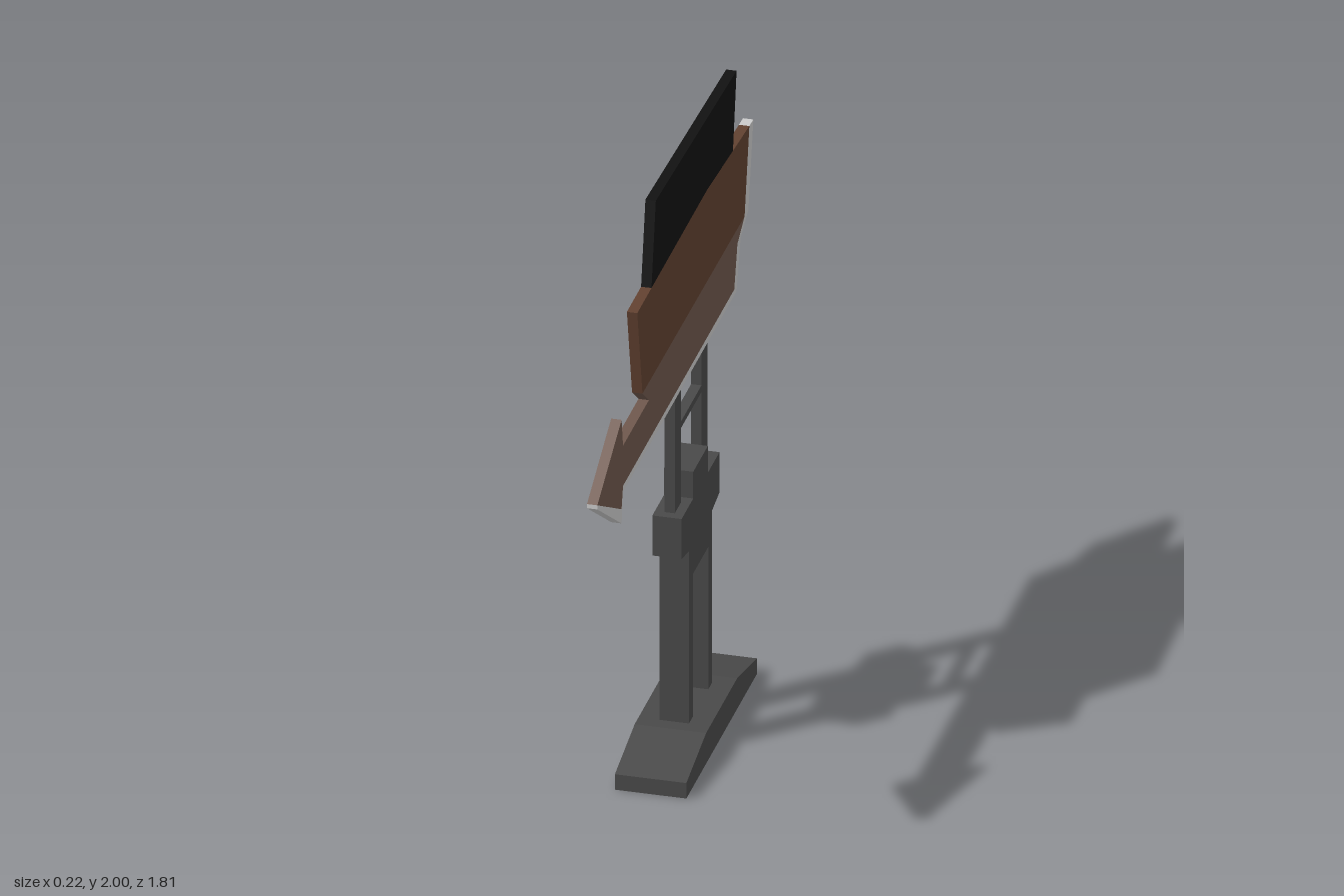
import * as THREE from 'three';

const materials = {
  metal: new THREE.MeshStandardMaterial({ color: 0x494949 }),
  black: new THREE.MeshStandardMaterial({ color: 0x121212 }),
  brown: new THREE.MeshStandardMaterial({ color: 0x624231 }),
  lightBrown: new THREE.MeshStandardMaterial({ color: 0x6f584d }),
  grey: new THREE.MeshStandardMaterial({ color: 0xcccccc }),
};

// Side profile of [z, y] points, extruded across x and centred on x = 0
function slab(name, points, width, material) {
  const shape = new THREE.Shape(points.map(([z, y]) => new THREE.Vector2(z, y)));
  const geometry = new THREE.ExtrudeGeometry(shape, { depth: width, bevelEnabled: false });
  geometry.translate(0, 0, -width / 2).rotateY(-Math.PI / 2);
  const mesh = new THREE.Mesh(geometry, material);
  mesh.name = name;
  return mesh;
}

function bar(name, width, y0, y1, z0, z1, material) {
  const mesh = new THREE.Mesh(new THREE.BoxGeometry(width, y1 - y0, z1 - z0), material);
  mesh.position.set(0, (y0 + y1) / 2, (z0 + z1) / 2);
  mesh.name = name;
  return mesh;
}

export function createModel() {
  const model = new THREE.Group();
  model.name = 'arrowSign';
  const thin = 0.032, thick = 0.09, mid = -0.18;
  const { metal, black, brown, lightBrown, grey } = materials;

  // Foot with sloping ends
  model.add(slab('foot', [
    [0.23, 0], [0.23, 0.052], [0, 0.103], [-0.36, 0.103], [-0.59, 0.052], [-0.59, 0],
  ], 0.22, metal));

  // Paired legs and upper posts, mirrored about the stand's centre
  for (const side of [1, -1]) {
    const pair = (name, width, y0, y1, inner, outer) => {
      const [a, b] = [mid + side * inner, mid + side * outer];
      model.add(bar(name, width, y0, y1, Math.min(a, b), Math.max(a, b), metal));
    };
    pair('leg', thick, 0.1, 0.583, 0.09, 0.135);
    pair('upperPost', thin, 0.83, 1.215, 0.12, 0.19);
  }
  model.add(bar('rung', thin, 1.085, 1.107, -0.3, -0.06, metal));

  // Cross-shaped joint block
  const half = [[0.085, 0.925], [0.085, 0.835], [0.22, 0.835], [0.22, 0.7], [0.135, 0.683], [0.135, 0.583]];
  model.add(slab('jointBlock', [
    ...half.map(([z, y]) => [mid + z, y]),
    ...half.slice().reverse().map(([z, y]) => [mid - z, y]),
  ], thick, metal));

  // Sign board: arrow, upper panel, top panel
  model.add(slab('arrowPanel', [
    [0.908, 1.322], [0.627, 1.466], [0.61, 1.37], [0.31, 1.37], [0.385, 1.43],
    [-0.8, 1.42], [-0.717, 1.37], [-0.68, 1.235], [0.61, 1.235], [0.627, 1.165],
  ], thin, lightBrown));
  model.add(slab('upperPanel', [
    [0.385, 1.43], [0.445, 1.732], [-0.363, 1.732], [-0.855, 1.696], [-0.8, 1.42],
  ], thin, brown));
  model.add(slab('topPanel', [
    [0.28, 1.732], [0.23, 2], [-0.707, 1.958], [-0.665, 1.71], [-0.363, 1.732],
  ], thin, black));

  // Pale trim along the lower and rear edges
  model.add(slab('edgeTrim', [
    [-0.855, 1.696], [-0.8, 1.42], [-0.717, 1.37], [-0.68, 1.235], [0.61, 1.235], [0.627, 1.165],
    [0.908, 1.322], [0.908, 1.308], [0.627, 1.117], [0.61, 1.215], [-0.707, 1.215],
    [-0.754, 1.371], [-0.844, 1.419], [-0.902, 1.694],
  ], thin, grey));

  return model;
}
